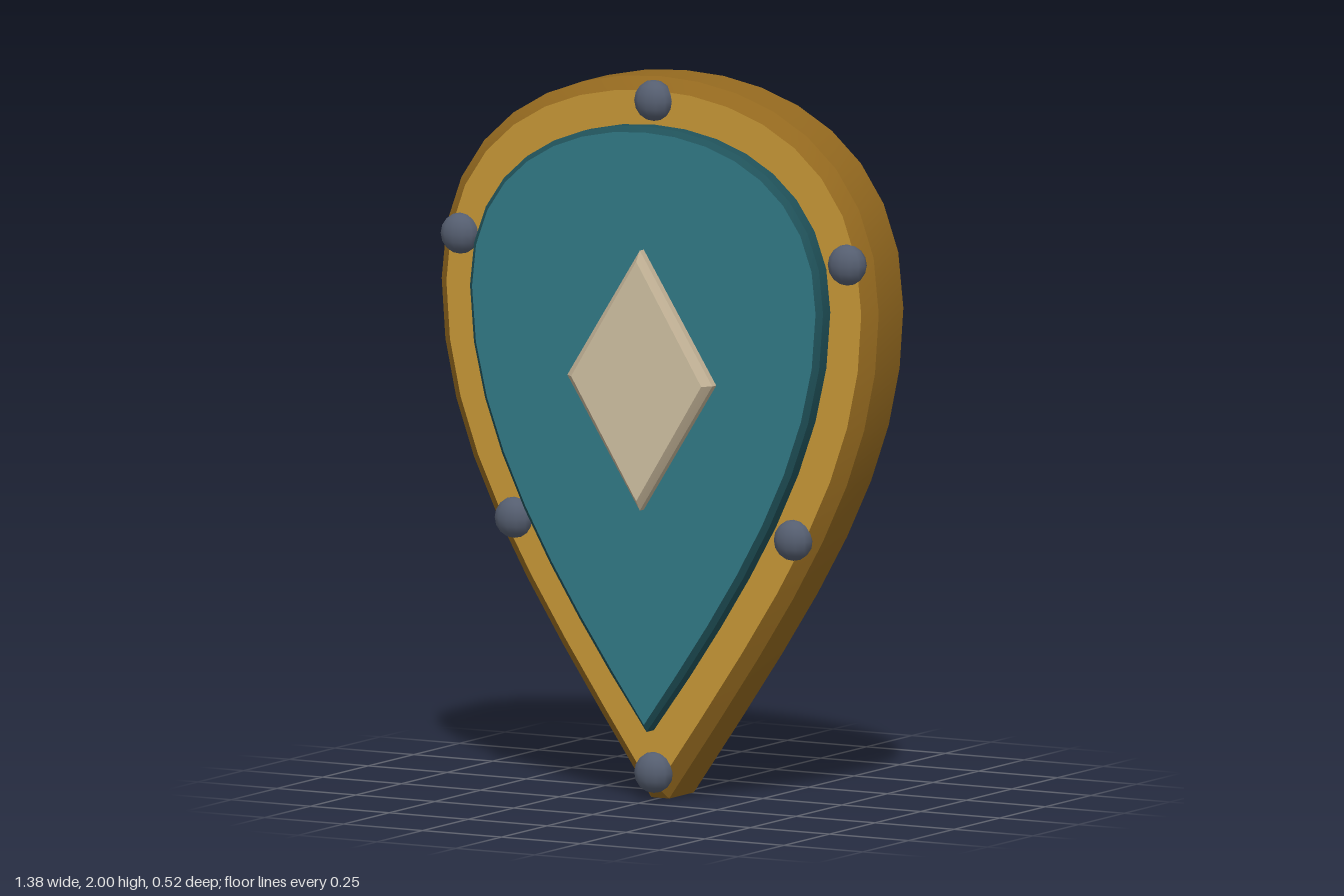
import * as THREE from 'three';
import { toCreasedNormals } from 'three/addons/utils/BufferGeometryUtils.js';

const mat = (name, color) => {
  const m = new THREE.MeshStandardMaterial({ color });
  m.name = name;
  return m;
};

// Teardrop outline: rounded top, widest at y = 1.39, narrow tip (blunt when given a width)
function teardrop({ top, width, tip, crown, shoulder, flank, lowX, lowY, blunt }) {
  const v = (x, y) => new THREE.Vector2(x, y);
  const upper = new THREE.CubicBezierCurve(v(0, top), v(crown, top), v(width, shoulder), v(width, 1.39));
  const lower = new THREE.CubicBezierCurve(v(width, 1.39), v(width, flank), v(lowX, lowY), v(blunt, tip));
  const right = [...upper.getPoints(8), ...lower.getPoints(8).slice(1)];
  const left = right.slice(1, blunt > 0 ? undefined : -1).reverse().map((p) => v(-p.x, p.y));
  return new THREE.Shape([...right, ...left]);
}

// Bevelled slab between two z planes, with separate face and edge materials
function slab(name, shape, z0, z1, bevelSize, bevelThickness, materials) {
  const geo = new THREE.ExtrudeGeometry(shape, {
    depth: z1 - z0 - 2 * bevelThickness,
    bevelEnabled: true, bevelSegments: 1, bevelSize, bevelThickness,
  });
  geo.translate(0, 0, z0 + bevelThickness);
  const mesh = new THREE.Mesh(toCreasedNormals(geo, 0.5), materials);
  mesh.name = name;
  return mesh;
}

export function createModel() {
  const group = new THREE.Group();
  group.name = 'shield';

  const gold = mat('gold face', 0xc59636);
  const goldEdge = mat('gold edge', 0x94691f);
  const teal = mat('teal face', 0x317885);
  const tealEdge = mat('teal edge', 0x20525a);
  const cream = mat('cream face', 0xcebfa1);
  const creamEdge = mat('cream edge', 0xc2b296);
  const steel = mat('dark steel', 0x555e70);
  const leather = mat('dark leather', 0x2a1e2e);
  leather.flatShading = true;

  // Body and raised front panel
  const bodyShape = teardrop({
    top: 1.965, width: 0.657, tip: 0.035, crown: 0.31, shoulder: 1.815,
    flank: 0.95, lowX: 0.41, lowY: 0.605, blunt: 0.01,
  });
  group.add(slab('body', bodyShape, -0.04, 0.165, 0.035, 0.035, [gold, goldEdge]));

  const panelShape = teardrop({
    top: 1.855, width: 0.544, tip: 0.213, crown: 0.26, shoulder: 1.725,
    flank: 0.98, lowX: 0.272, lowY: 0.593, blunt: 0,
  });
  group.add(slab('frontPanel', panelShape, 0.13, 0.22, 0.015, 0.015, [teal, tealEdge]));

  // Diamond boss
  const diamond = new THREE.Shape([[0, 1.502], [-0.206, 1.17], [0, 0.838], [0.206, 1.17]]
    .map(([x, y]) => new THREE.Vector2(x, y)));
  group.add(slab('diamond', diamond, 0.19, 0.262, 0.02, 0.02, [cream, creamEdge]));

  // Rivets around the rim
  const rivets = new THREE.Group();
  rivets.name = 'rivets';
  const rivetGeo = new THREE.SphereGeometry(0.057, 12, 8);
  for (const [x, y] of [[0, 1.937], [0.613, 1.525], [-0.613, 1.525], [0.442, 0.75], [-0.442, 0.75], [0, 0.075]]) {
    const rivet = new THREE.Mesh(rivetGeo, steel);
    rivet.name = 'rivet';
    rivet.position.set(x, y, 0.165);
    rivet.scale.z = 0.78;
    rivets.add(rivet);
  }
  group.add(rivets);

  // Half-ellipse grip on the back
  const path = [];
  for (let i = 0; i <= 12; i++) {
    const a = (i / 12) * Math.PI;
    path.push(new THREE.Vector3(0, 1.172 + 0.287 * Math.cos(a), -0.21 * Math.sin(a)));
  }
  const grip = new THREE.Mesh(
    new THREE.TubeGeometry(new THREE.CatmullRomCurve3(path), 20, 0.05, 8), leather);
  grip.name = 'grip';
  group.add(grip);

  return group;
}
